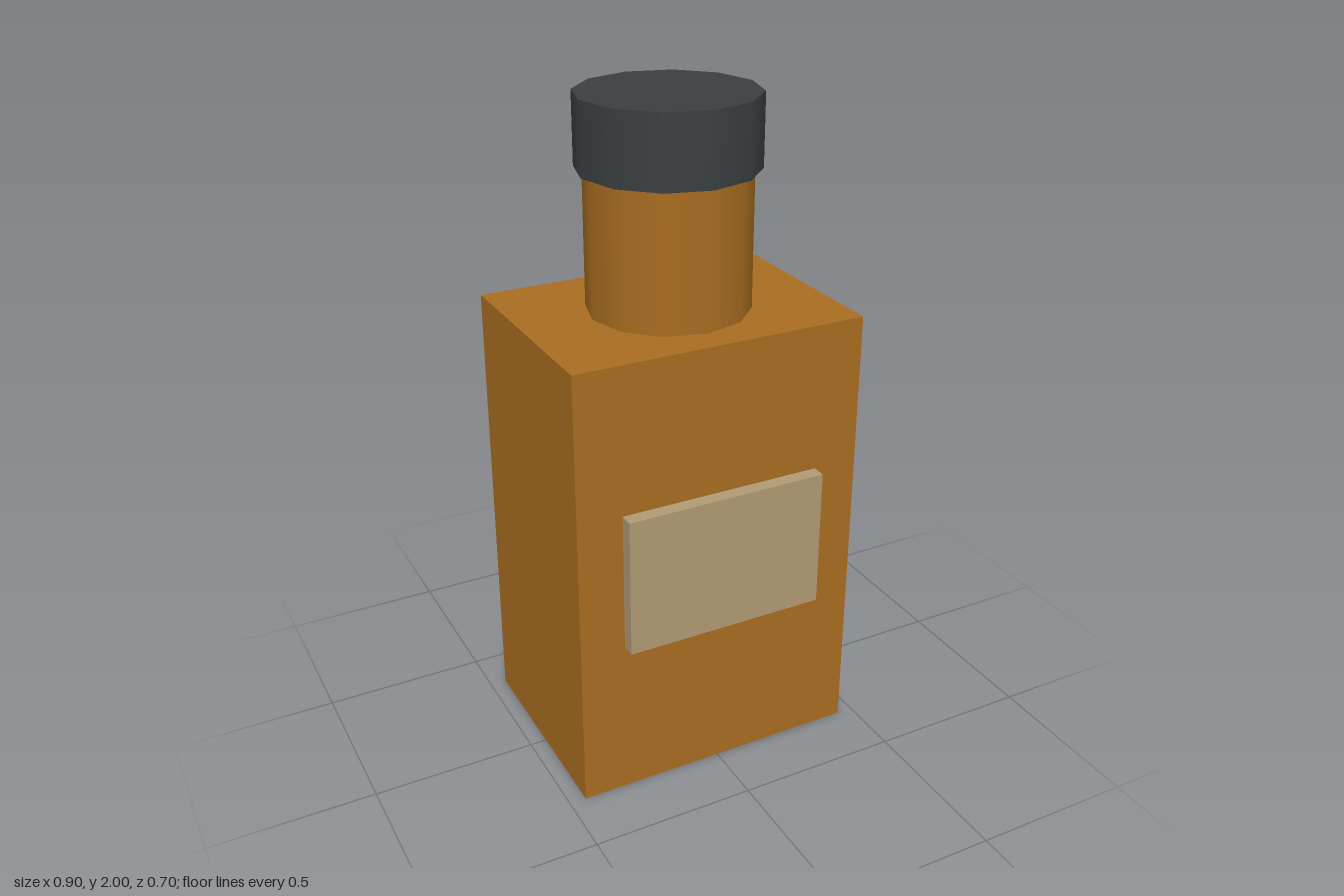
import * as THREE from 'three';

export function createModel() {
  const group = new THREE.Group();
  const amber = new THREE.MeshStandardMaterial({ color: 0xa86c20 });
  const dark = new THREE.MeshStandardMaterial({ color: 0x3a3f41 });
  const paper = new THREE.MeshStandardMaterial({ color: 0xb09a74 });
  const centerZ = -0.022;

  const add = (name, geometry, material, y, z) => {
    const mesh = new THREE.Mesh(geometry, material);
    mesh.name = name;
    mesh.position.set(0, y, z);
    group.add(mesh);
  };
  // Twelve-sided, smooth-shaded cylinder spanning two heights
  const addRound = (name, radius, bottom, top, material) =>
    add(name, new THREE.CylinderGeometry(radius, radius, top - bottom, 12),
      material, (bottom + top) / 2, centerZ);

  // Rectangular bottle body
  add('body', new THREE.BoxGeometry(0.898, 1.382, 0.66), amber, 0.691, centerZ);
  // Neck and overhanging cap
  addRound('neck', 0.24, 1.382, 1.79, amber);
  addRound('cap', 0.263, 1.79, 2, dark);
  // Raised label plate on the front
  add('label', new THREE.BoxGeometry(0.622, 0.43, 0.044), paper, 0.717, 0.329);

  return group;
}
